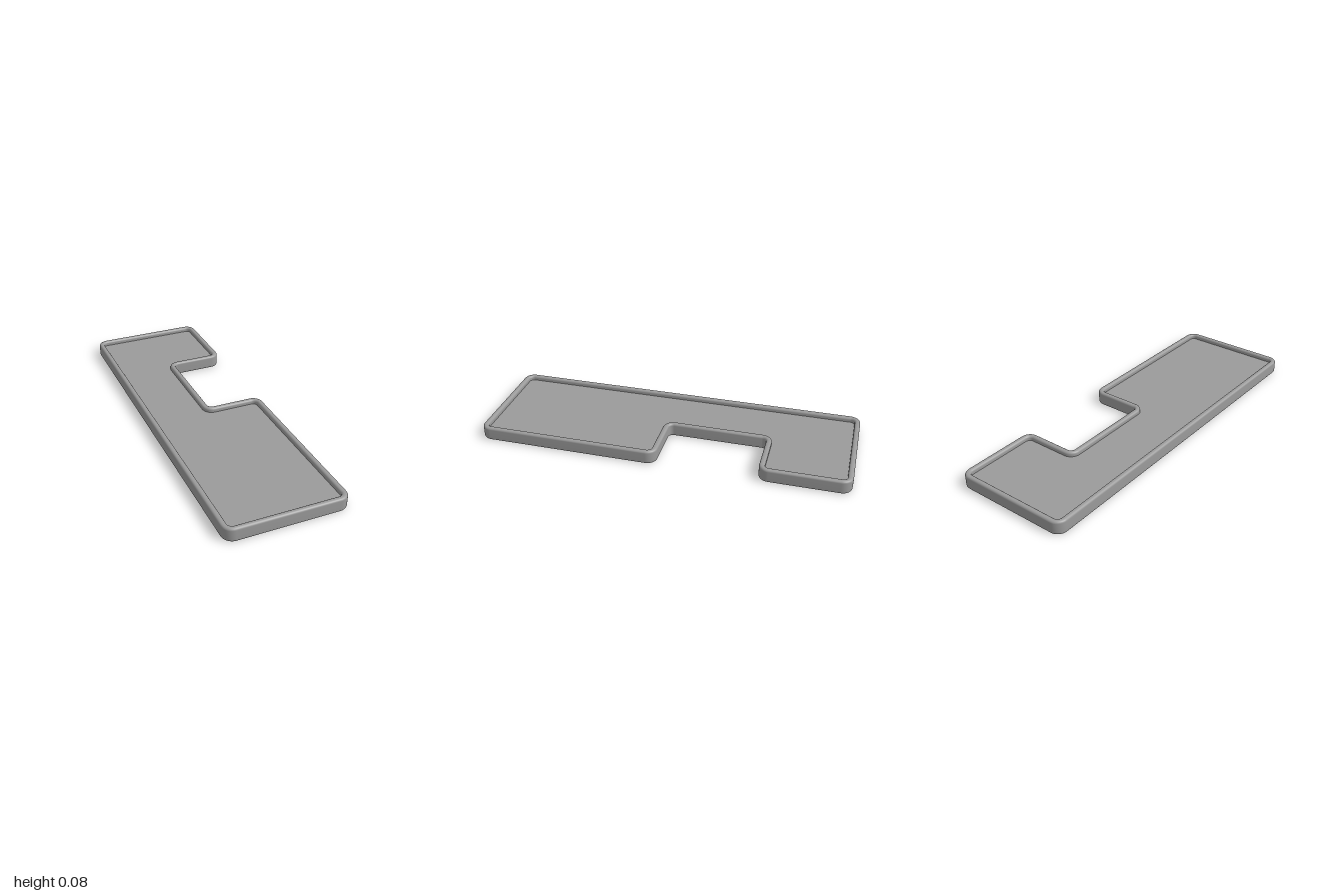
import * as THREE from 'three';

const CONVEX = 0.055, CONCAVE = 0.025, STEPS = 8;
const WALL = 0.03, HEIGHT = 0.075, ROUND = 0.012, ROUND_STEPS = 4;
const FLOOR_TOP = 0.05, FLOOR_BOTTOM = 0.02;

// Outline corners, counter-clockwise from above: x, -z, start angle in quarter turns, turn direction
const CORNERS = [
  [-0.322, -1, 2, 1], [0.322, -1, 3, 1], [0.322, -0.01, 0, 1],
  [0.022, -0.01, 3, -1], [0.022, 0.527, 2, -1],
  [0.322, 0.527, 3, 1], [0.322, 1, 0, 1], [-0.322, 1, 1, 1],
];

// Rounded outline moved inwards by inset; always the same number of points
function outline(inset) {
  const points = [];
  for (const [x, y, quarter, turn] of CORNERS) {
    const base = turn > 0 ? CONVEX : CONCAVE;
    const radius = base - turn * inset;
    const mid = (quarter + turn / 2) * Math.PI / 2;
    const cx = x - Math.sign(Math.cos(mid)) * base;
    const cy = y - Math.sign(Math.sin(mid)) * base;
    for (let i = 0; i <= STEPS; i++) {
      const a = (quarter + turn * i / STEPS) * Math.PI / 2;
      points.push(new THREE.Vector2(cx + radius * Math.cos(a), cy + radius * Math.sin(a)));
    }
  }
  return points;
}

// Cross-section of the wall as [inset, height], from the tray floor over the top to the underside
function wallProfile() {
  const inner = WALL - ROUND, top = HEIGHT - ROUND;
  const centres = [[inner, top], [ROUND, top], [ROUND, ROUND], [inner, ROUND]];
  const profile = [[WALL, FLOOR_TOP]];
  centres.forEach(([d, y], quarter) => {
    for (let i = 0; i <= ROUND_STEPS; i++) {
      const a = (quarter + i / ROUND_STEPS) * Math.PI / 2;
      profile.push([d + ROUND * Math.cos(a), y + ROUND * Math.sin(a)]);
    }
  });
  profile.push([WALL, FLOOR_BOTTOM]);
  return profile;
}

// Wall: the cross-section carried round the outline
function wallGeometry() {
  const position = [], index = [];
  const profile = wallProfile();
  const n = CORNERS.length * (STEPS + 1);
  profile.forEach(([inset, y], i) => {
    outline(inset).forEach((p, j) => {
      position.push(p.x, y, -p.y);
      if (i === profile.length - 1) return;
      const k = (j + 1) % n;
      const a = i * n + j, b = a + n, c = (i + 1) * n + k, d = i * n + k;
      index.push(a, b, c, a, c, d);
    });
  });
  const geometry = new THREE.BufferGeometry();
  geometry.setAttribute('position', new THREE.Float32BufferAttribute(position, 3));
  geometry.setIndex(index);
  geometry.computeVertexNormals();
  return geometry;
}

export function createModel() {
  const group = new THREE.Group();
  group.name = 'notchedTray';
  const material = new THREE.MeshStandardMaterial({ color: 0x9b9b9b });

  const wall = new THREE.Mesh(wallGeometry(), material);
  wall.name = 'rimWall';
  group.add(wall);

  // Floor plate, recessed from both the top and the underside
  const plate = new THREE.ExtrudeGeometry(new THREE.Shape(outline(WALL)), {
    depth: FLOOR_TOP - FLOOR_BOTTOM, bevelEnabled: false,
  });
  plate.rotateX(-Math.PI / 2);
  const floor = new THREE.Mesh(plate, material);
  floor.name = 'floorPlate';
  floor.position.y = FLOOR_BOTTOM;
  group.add(floor);

  return group;
}
